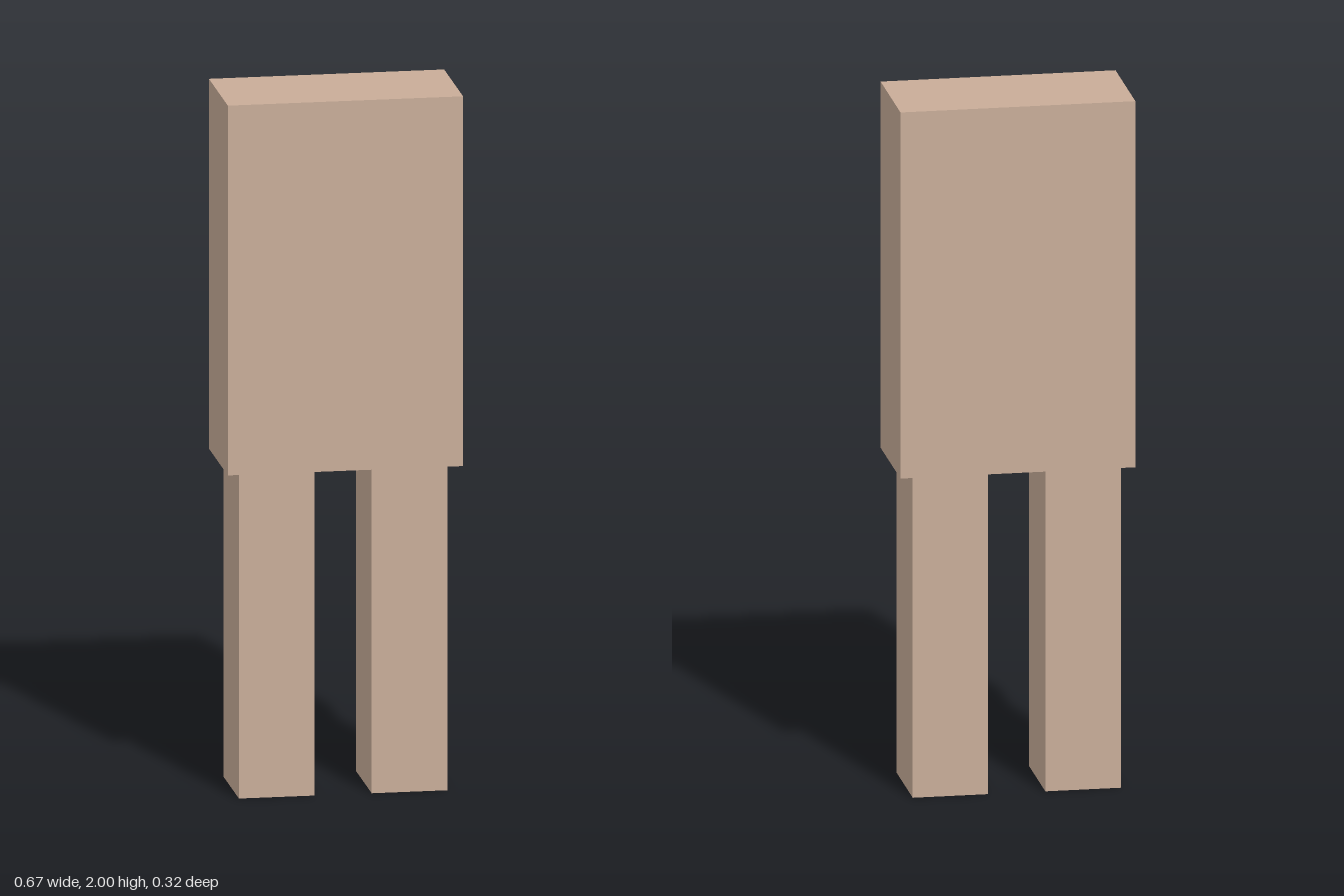
import * as THREE from 'three';

export function createModel() {
  const model = new THREE.Group();
  model.name = 'figure';
  const skin = new THREE.MeshStandardMaterial({ color: 0xc8ac98 });
  skin.name = 'skin';

  const addBox = (name, size, position) => {
    const mesh = new THREE.Mesh(new THREE.BoxGeometry(...size), skin);
    mesh.name = name;
    mesh.position.set(...position);
    model.add(mesh);
  };

  const hipHeight = 0.937;

  // Torso slab
  const torsoHeight = 2 - hipHeight;
  addBox('torso', [0.666, torsoHeight, 0.32], [0, hipHeight + torsoHeight / 2, 0]);

  // Legs, set very slightly towards the right
  for (const [name, side] of [['leftLeg', 1], ['rightLeg', -1]]) {
    addBox(name, [0.214, hipHeight, 0.262], [side * 0.188 - 0.002, hipHeight / 2, 0.001]);
  }

  return model;
}
